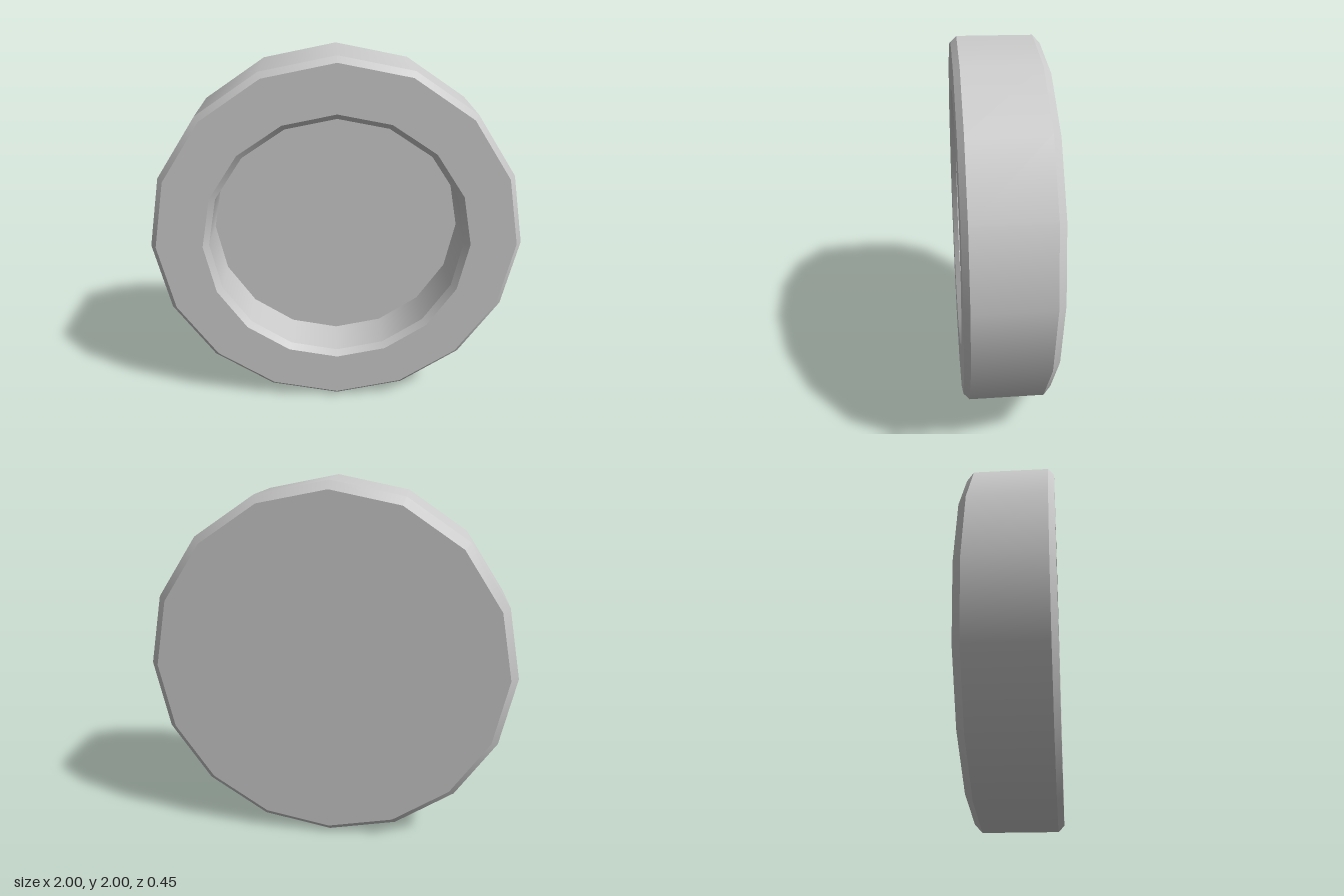
import * as THREE from 'three';
import { mergeGeometries } from 'three/addons/utils/BufferGeometryUtils.js';

const SIDES = 16;

// One lathe band per profile segment: smooth around, sharp between bands
function turned(name, profile, material) {
  const bands = [];
  for (let i = 0; i < profile.length - 1; i++) {
    const pair = [profile[i], profile[i + 1]].map(([r, z]) => new THREE.Vector2(r, z));
    bands.push(new THREE.LatheGeometry(pair, SIDES));
  }
  const geometry = mergeGeometries(bands);
  geometry.rotateX(Math.PI / 2); // lathe axis to +z
  const mesh = new THREE.Mesh(geometry, material);
  mesh.name = name;
  mesh.position.y = 1;
  return mesh;
}

export function createModel() {
  const group = new THREE.Group();
  group.name = 'recessedDisc';
  const material = new THREE.MeshStandardMaterial({ color: 0xcccccc });

  // Back plate, bevelled outer wall and flat front rim: [radius, z]
  group.add(turned('outerBody', [
    [0, -0.228], [0.957, -0.228], [1, -0.188], [1, 0.196], [0.97, 0.226], [0.72, 0.226],
  ], material));

  // Chamfered recess with a flat floor
  group.add(turned('frontRecess', [
    [0.72, 0.226], [0.69, 0.196], [0.69, -0.045], [0, -0.045],
  ], material));

  return group;
}
